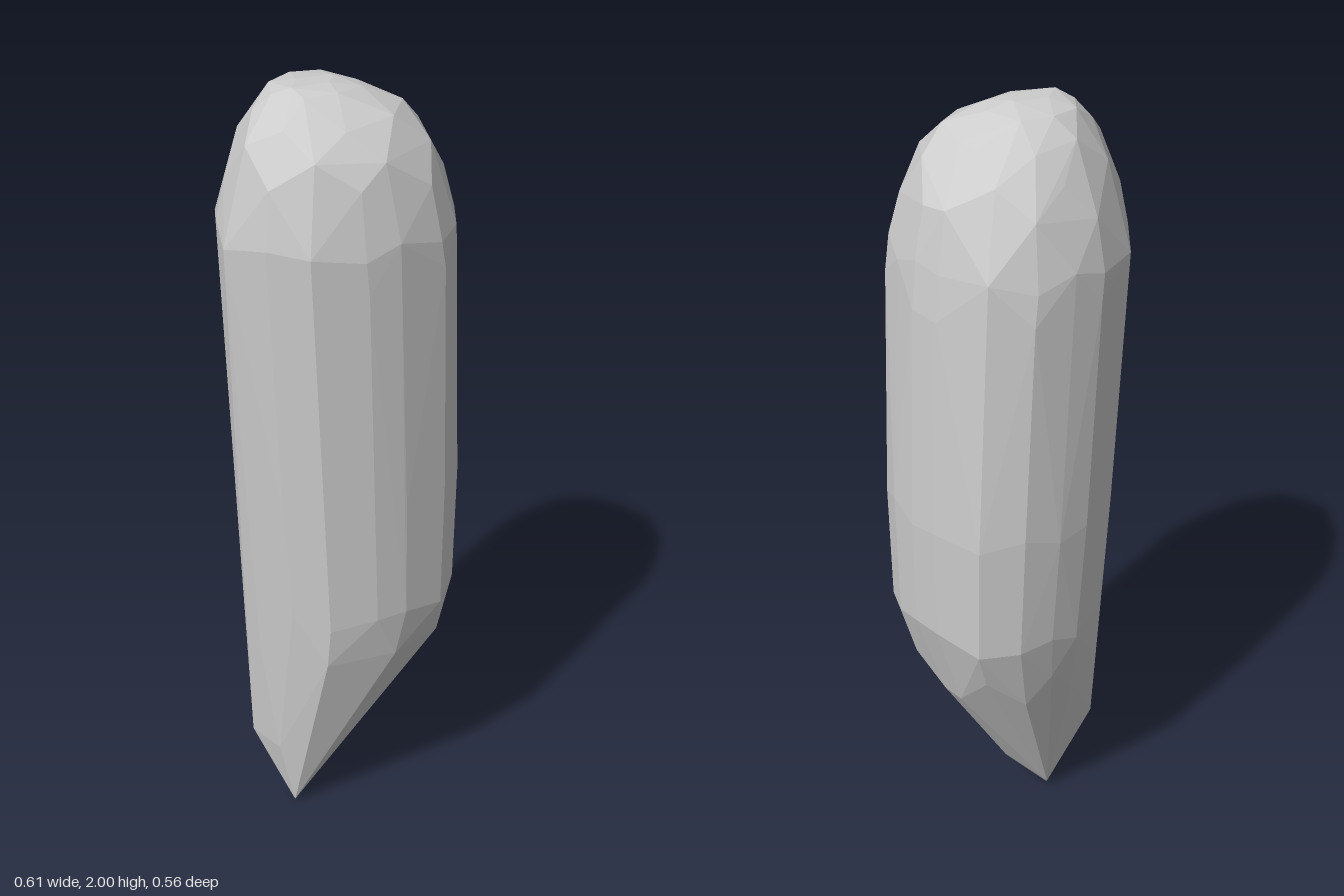
import * as THREE from 'three';
import { ConvexGeometry } from 'three/addons/geometries/ConvexGeometry.js';

// Rounded plan outline, as fractions of the half width and half depth
const outline = [
  [1, 0], [0.97, 0.33], [0.87, 0.62], [0.66, 0.87], [0.38, 1], [-0.07, 1], [-0.36, 0.92],
  [-0.75, 0.7], [-0.93, 0.36], [-1, -0.1], [-0.83, -0.42], [-0.58, -0.78], [-0.16, -0.98],
  [0.14, -1], [0.47, -0.95], [0.8, -0.74], [0.97, -0.3],
];

// Sections of the body: y, left x, right x, back z, front z, point step, unevenness
const sections = [
  [2.0, -0.14, 0.0, -0.03, 0.04, 4, 0],
  [1.985, -0.16, 0.06, -0.11, 0.085, 2, 0.003],
  [1.935, -0.21, 0.14, -0.16, 0.17, 2, 0.012],
  [1.875, -0.25, 0.195, -0.2, 0.228, 2, 0.012],
  [1.8, -0.285, 0.24, -0.24, 0.25, 2, 0.018],
  [1.67, -0.305, 0.267, -0.272, 0.277, 1, 0.018],
  [1.58, -0.299, 0.28, -0.277, 0.28, 2, 0.018],
  [1.0, -0.268, 0.303, -0.278, 0.28, 1, 0.018],
  [0.67, -0.247, 0.294, -0.259, 0.28, 1, 0.018],
  [0.53, -0.24, 0.252, -0.232, 0.26, 2, 0.018],
  [0.45, -0.235, 0.222, -0.212, 0.2, 2, 0.01],
];

// Slanted chisel tip
const tip = [
  [-0.18, 0.01, 0.05], [-0.17, 0, 0.03], [-0.07, 0, -0.07], [-0.06, 0.02, -0.088],
  [0.035, 0.12, -0.02], [-0.218, 0.2, -0.08], [-0.215, 0.2, 0.03],
];

export function createModel() {
  const grey = new THREE.MeshStandardMaterial({ color: 0xcccccc });
  grey.name = 'lightGrey';

  const points = tip.map((p) => new THREE.Vector3(...p));
  sections.forEach(([y, x0, x1, z0, z1, step, uneven], s) => {
    for (let i = s % step; i < outline.length; i += step) {
      const [u, v] = outline[i];
      // a slight rise and fall gives the ends irregular facets
      points.push(new THREE.Vector3(
        (x0 + x1) / 2 + u * (x1 - x0) / 2,
        y + uneven * Math.sin(i * 2.4 + s * 1.7),
        (z0 + z1) / 2 + v * (z1 - z0) / 2,
      ));
    }
  });

  const body = new THREE.Mesh(new ConvexGeometry(points), grey);
  body.name = 'taperedBody';

  const group = new THREE.Group();
  group.name = 'facetedPeg';
  group.add(body);
  return group;
}
